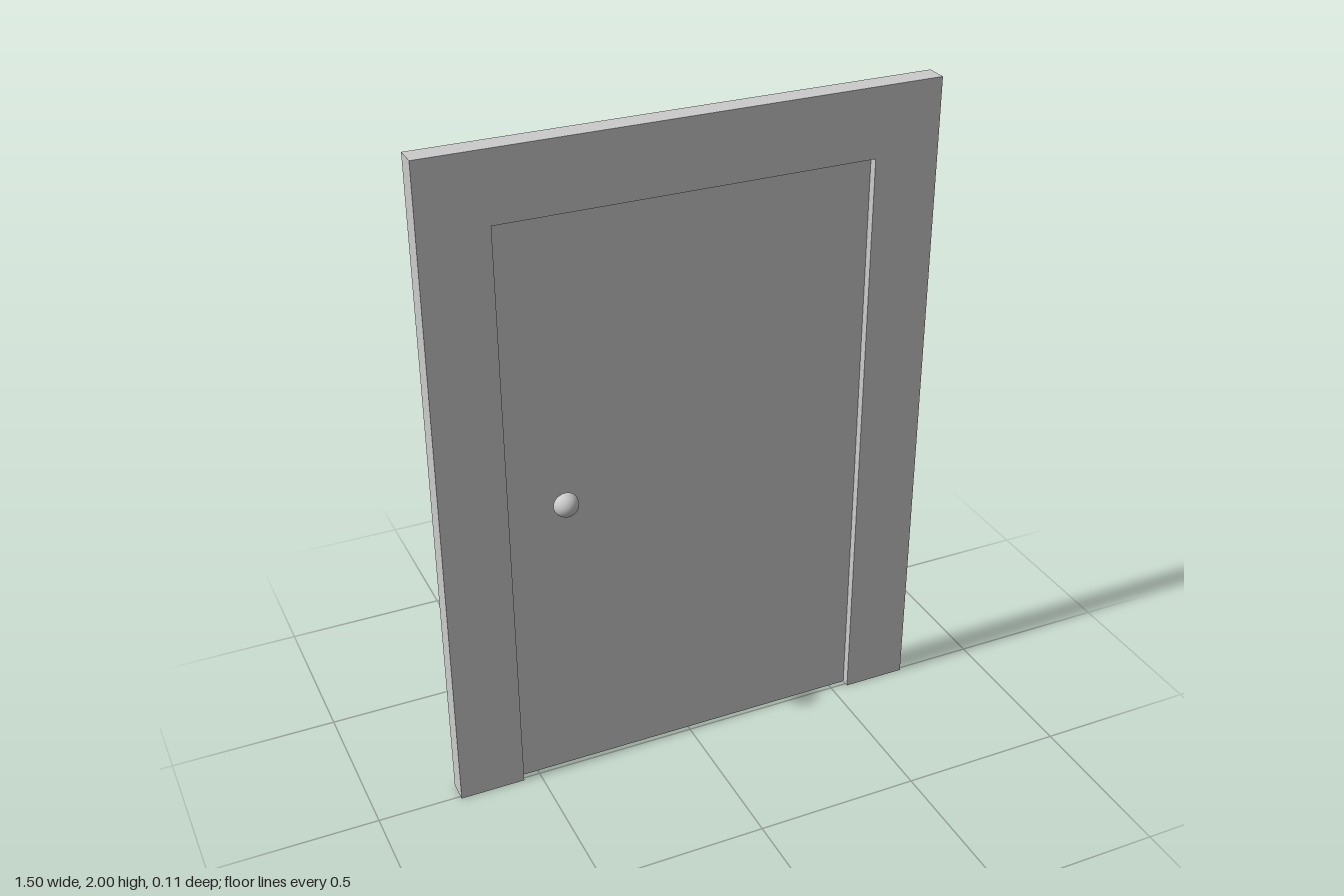
import * as THREE from 'three';

const grey = () => new THREE.MeshStandardMaterial({ color: 0xcccccc });

export function createModel() {
  const model = new THREE.Group();
  model.name = 'doorInWall';
  const add = (name, geometry, x, y, z) => {
    const mesh = new THREE.Mesh(geometry, grey());
    mesh.name = name;
    mesh.position.set(x, y, z);
    model.add(mesh);
    return mesh;
  };

  const halfW = 0.75, height = 2, openW = 0.553, openH = 1.795;

  // Wall slab with the doorway cut out of its lower edge
  const outline = new THREE.Shape([
    [-halfW, 0], [-openW, 0], [-openW, openH], [openW, openH],
    [openW, 0], [halfW, 0], [halfW, height], [-halfW, height],
  ].map(([x, y]) => new THREE.Vector2(x, y)));
  add('wall', new THREE.ExtrudeGeometry(outline, { depth: 0.065, bevelEnabled: false }), 0, 0, -0.055);

  // Door leaf, set back from both faces of the wall
  add('door', new THREE.BoxGeometry(openW * 2, openH, 0.03), 0, openH / 2, -0.03);

  // Knob: stem and tapered back, then a round dome in front
  const r = 0.037, rim = 0.033;
  const back = [[0.014, 0], [0.014, 0.017], [0.026, 0.025], [r, rim]]
    .map(([x, y]) => new THREE.Vector2(x, y));
  const dome = [];
  for (let i = 0; i <= 10; i++) {
    const a = (i / 10) * Math.PI / 2;
    dome.push(new THREE.Vector2(i === 10 ? 0 : r * Math.cos(a), rim + r * Math.sin(a)));
  }
  for (const [name, profile] of [['knobStem', back], ['knobDome', dome]]) {
    add(name, new THREE.LatheGeometry(profile, 32), -0.388, 0.937, -0.015).rotation.x = Math.PI / 2;
  }

  return model;
}
